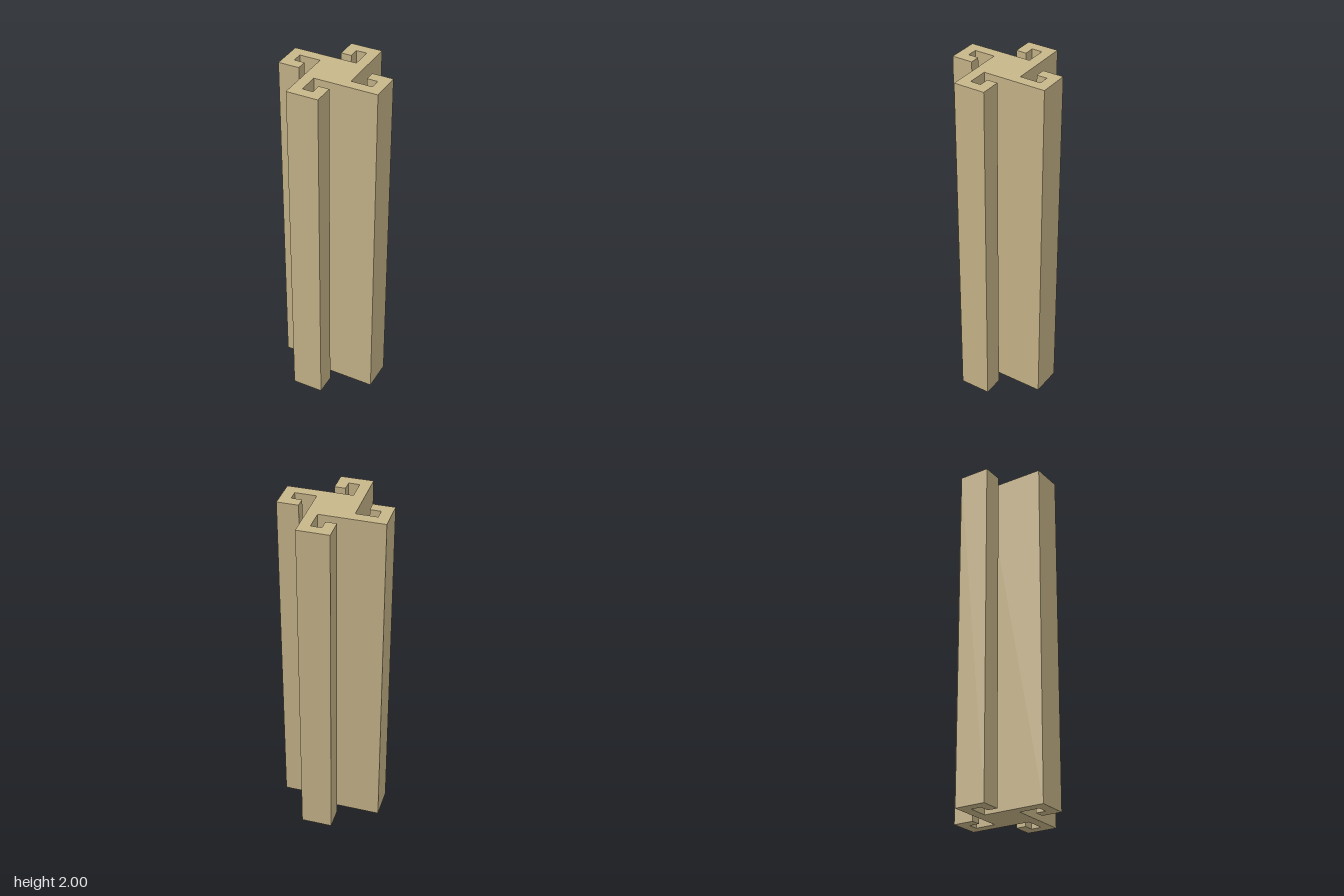
import * as THREE from 'three';

export function createModel() {
  const group = new THREE.Group();
  group.name = 'slottedColumn';

  const tan = new THREE.MeshStandardMaterial({ color: 0xc8b68a });
  tan.name = 'tan';

  // One hooked arm as [x, z]; each further arm is a quarter turn of it
  const arm = [
    [0.12, 0.06], [0.24, 0.06], [0.24, 0], [0.18, 0],
    [0.18, -0.06], [0.3, -0.06], [0.3, 0.12],
  ];
  const outline = [];
  let points = arm;
  for (let i = 0; i < 4; i++) {
    outline.push(...points.map(([x, z]) => new THREE.Vector2(x, -z)));
    points = points.map(([x, z]) => [-z, x]);
  }

  // Extrude the profile and stand it upright on the ground
  const geometry = new THREE.ExtrudeGeometry(new THREE.Shape(outline), {
    depth: 2,
    bevelEnabled: false,
  });
  geometry.rotateX(-Math.PI / 2);

  const column = new THREE.Mesh(geometry, tan);
  column.name = 'column';
  group.add(column);
  return group;
}
